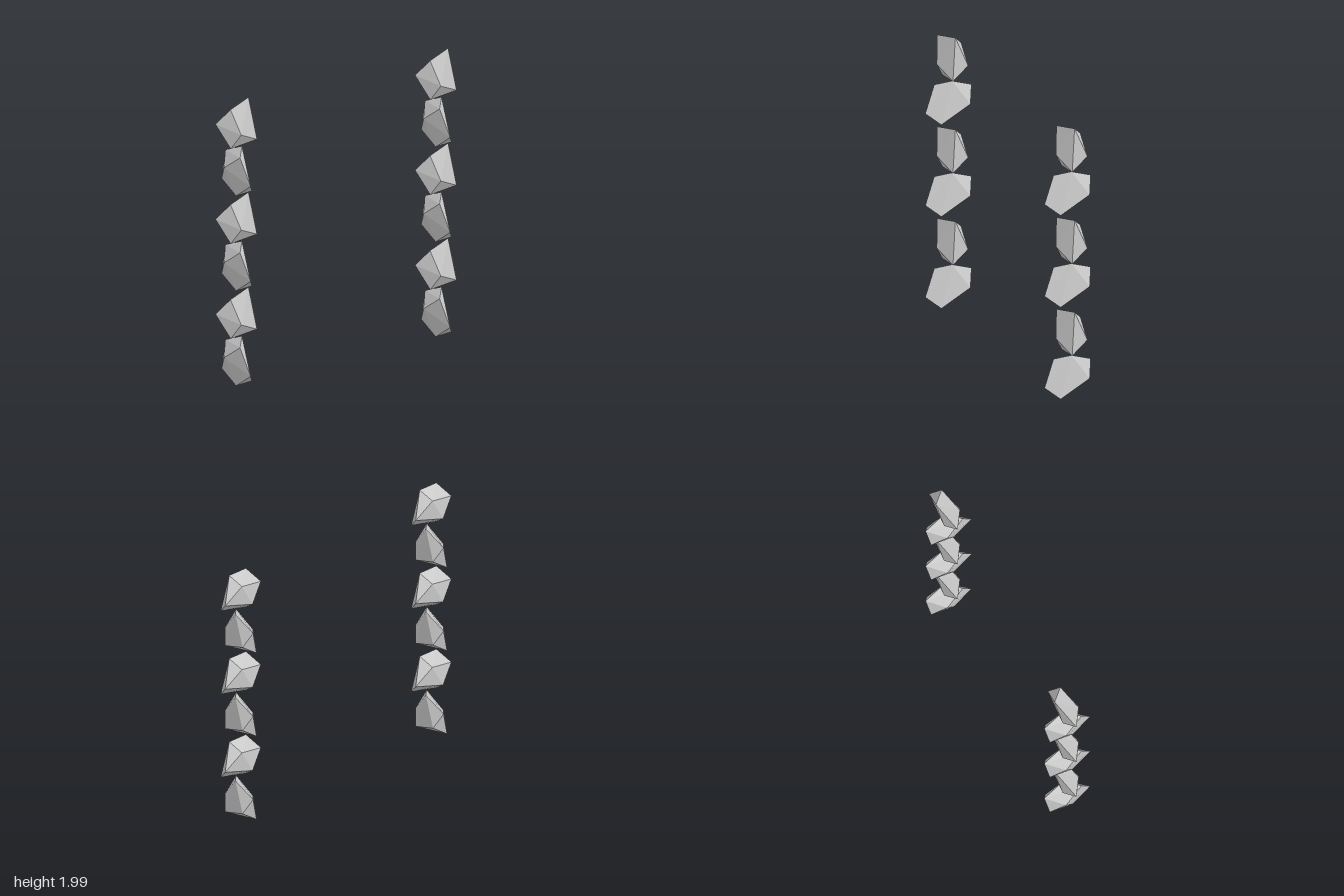
import * as THREE from 'three';
import { ConvexGeometry } from 'three/addons/geometries/ConvexGeometry.js';

const LINKS = 6;
const PITCH = 1 / 3;
const SQUASH = 0.45;

// Corners of one irregular faceted stone, centred on its own origin
const corners = [
  [-0.08, 0.125, 0.085], [0.09, 0.163, -0.005], [0.165, -0.02, -0.125],
  [0.13, -0.128, 0.085], [-0.06, -0.163, 0.025], [-0.158, 0.02, -0.05],
  [-0.02, -0.055, 0.168], [0.04, 0.092, -0.165], [-0.055, -0.095, -0.147],
].map((p) => new THREE.Vector3(...p));

export function createModel() {
  const model = new THREE.Group();
  const material = new THREE.MeshStandardMaterial({ color: 0xcccccc, flatShading: true });

  // The same stone flattened either sideways or front to back
  const stone = new ConvexGeometry(corners);
  const narrow = stone.clone().scale(SQUASH, 1, 1);
  const wide = stone.clone().scale(1, 1, SQUASH);

  // Two upright strands of alternating links
  for (const [name, x] of [['leftStrand', 0.79], ['rightStrand', -0.79]]) {
    const strand = new THREE.Group();
    strand.name = name;
    strand.position.x = x;
    for (let i = 0; i < LINKS; i++) {
      const isWide = i % 2 === 1;
      const link = new THREE.Mesh(isWide ? wide : narrow, material);
      link.name = isWide ? 'wideLink' : 'narrowLink';
      link.position.y = (i + 0.5) * PITCH + 0.002;
      strand.add(link);
    }
    model.add(strand);
  }
  return model;
}
